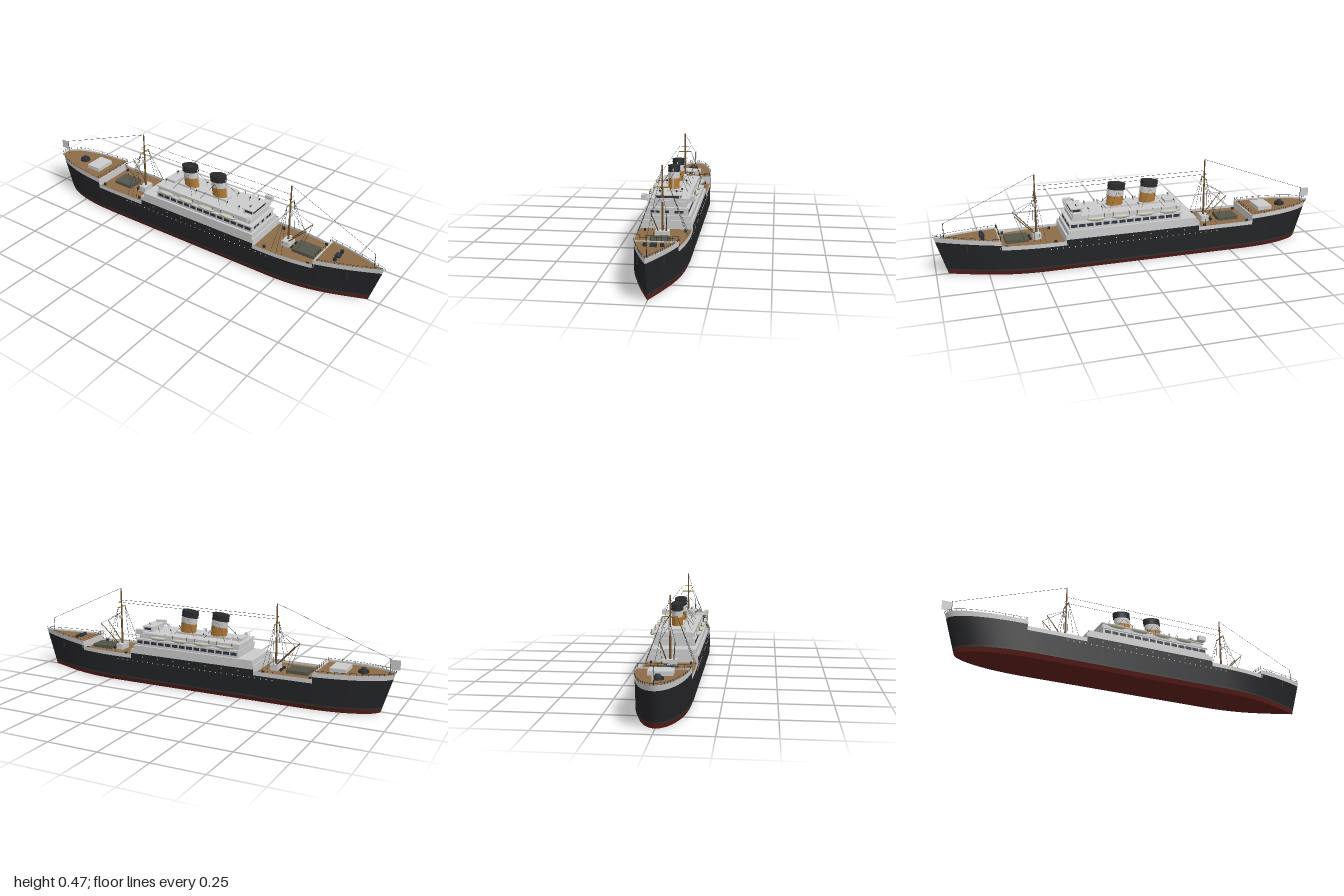
import * as THREE from 'three';

const mat = (color, double) => new THREE.MeshStandardMaterial({ color, side: double ? THREE.DoubleSide : THREE.FrontSide });
const GREY = mat(0xcccccc), GREY2 = mat(0xcccccc, true), HULL = mat(0x232427, true), BOOT = mat(0x2f332f, true);
const RED = mat(0x5e201b, true), WOOD = mat(0x8c6c48, true), SPAR = mat(0x6e5130), BUFF = mat(0xb07a35);
const DARK = mat(0x2a2c2e), GLASS = mat(0x2c3540), HATCH = mat(0x55564a), BOAT = mat(0xc8c8b6, true), BRASS = mat(0x9a7434);

export function createModel() {
  const ship = new THREE.Group();
  ship.name = 'steamship';

  const add = (name, geo, m, x = 0, y = 0, z = 0, parent = ship) => {
    const mesh = new THREE.Mesh(geo, m);
    mesh.name = name;
    mesh.position.set(x, y, z);
    parent.add(mesh);
    return mesh;
  };
  // Box given by half width, y range and z range
  const block = (name, hx, y0, y1, z0, z1, m = GREY, x = 0) =>
    add(name, new THREE.BoxGeometry(2 * hx, y1 - y0, z1 - z0), m, x, (y0 + y1) / 2, (z0 + z1) / 2);
  // Round bar between two points
  const bar = (name, a, b, r, m = DARK, r2 = r, sides = 4) => {
    const A = new THREE.Vector3(...a), B = new THREE.Vector3(...b), d = B.clone().sub(A);
    const mesh = add(name, new THREE.CylinderGeometry(r2, r, d.length(), sides), m);
    mesh.position.copy(A).add(B).multiplyScalar(0.5);
    mesh.quaternion.setFromUnitVectors(new THREE.Vector3(0, 1, 0), d.normalize());
    return mesh;
  };
  const wire = (name, a, b) => bar(name, a, b, 0.0007);

  // Hull form: half breadth, and end rake that grows towards the keel
  const breadth = z => z > 0.45 ? 0.125 * (1 - ((z - 0.45) / 0.55) ** 1.9)
    : z < -0.5 ? 0.125 * Math.sqrt(Math.max(0, 1 - ((-z - 0.5) / 0.48) ** 2.3)) : 0.125;
  const hullPoint = (z, y, side) => {
    const rake = 0.06 * (1 - y / 0.195) * THREE.MathUtils.smoothstep(Math.abs(z), 0.55, 1);
    const bilge = y < 0.022 ? 0.92 + 0.08 * y / 0.022 : 1;
    return [side * breadth(z) * bilge, y, z - Math.sign(z) * rake];
  };
  const zones = [
    { name: 'forecastle', z0: 1, z1: 0.69, dark: t => 0.172 - 0.015 * t, top: t => 0.198 - 0.018 * t, drop: 0.009 },
    { name: 'foreWell', z0: 0.69, z1: 0.37, dark: () => 0.132, top: () => 0.153, drop: 0.013 },
    { name: 'midship', z0: 0.37, z1: -0.32, dark: () => 0.16, top: () => 0.183, drop: 0.011 },
    { name: 'aftWell', z0: -0.32, z1: -0.62, dark: () => 0.132, top: () => 0.153, drop: 0.013 },
    { name: 'poop', z0: -0.62, z1: -0.98, dark: t => 0.163 + 0.006 * t, top: t => 0.185 + 0.01 * t, drop: 0.009 },
  ];
  const stations = zones.flatMap(zone => Array.from({ length: 17 }, (_, i) => {
    const u = i / 16, t = zone.name === 'poop' ? Math.sin(u * Math.PI / 2) : u;
    return { zone, z: THREE.MathUtils.lerp(zone.z0, zone.z1, t), dark: zone.dark(t), top: zone.top(t), deck: zone.top(t) - zone.drop };
  }));
  const around = [...stations.map(s => ({ ...s, side: 1 })), ...stations.slice(0, -1).reverse().map(s => ({ ...s, side: -1 }))];

  // Skin between two lines of points
  const loft = (name, list, lower, upper, m) => {
    const pos = [], index = [];
    list.forEach((s, i) => {
      pos.push(...lower(s), ...upper(s));
      if (i) index.push(2 * i - 2, 2 * i, 2 * i - 1, 2 * i, 2 * i + 1, 2 * i - 1);
    });
    const geo = new THREE.BufferGeometry();
    geo.setAttribute('position', new THREE.Float32BufferAttribute(pos, 3));
    geo.setIndex(index);
    geo.computeVertexNormals();
    return add(name, geo, m);
  };
  const level = f => s => hullPoint(s.z, f(s), s.side);
  loft('redBilge', around, level(() => 0), level(() => 0.022), RED);
  loft('bootStripe', around, level(() => 0.022), level(() => 0.03), BOOT);
  loft('hullSides', around, level(() => 0.03), level(s => s.dark), HULL);
  loft('bulwark', around, level(s => s.dark), level(s => s.top), GREY2);
  loft('hullBottom', stations, s => hullPoint(s.z, 0, -1), s => hullPoint(s.z, 0, 1), RED);
  for (const zone of zones)
    loft(zone.name + 'Deck', stations.filter(s => s.zone === zone), s => hullPoint(s.z, s.deck, -1),
      s => hullPoint(s.z, s.deck, 1), zone.name === 'midship' ? GREY2 : WOOD);

  // Bulkheads at the deck breaks, with a rail across the raised ends
  for (const [z, y] of [[0.69, 0.175], [0.37, 0.18], [-0.32, 0.18], [-0.62, 0.18]])
    block('breakBulkhead', breadth(z) - 0.001, 0.135, y, z - 0.003, z + 0.003);
  for (const z of [0.688, -0.622]) {
    const w = breadth(z) - 0.004;
    for (const y of [0.19, 0.2]) wire('breakRail', [-w, y, z], [w, y, z]);
    for (let i = 0; i <= 8; i++) wire('railPost', [w * (i / 4 - 1), 0.175, z], [w * (i / 4 - 1), 0.2, z]);
  }
  // Rails along the sides of the raised ends
  for (const side of [-1, 1]) for (const name of ['forecastle', 'poop']) {
    const pts = stations.filter(s => s.zone.name === name).map(s => new THREE.Vector3(...hullPoint(s.z, s.top + 0.009, side)));
    add('sideRail', new THREE.TubeGeometry(new THREE.CatmullRomCurve3(pts), 32, 0.0007, 4), DARK);
    pts.forEach(p => wire('railPost', [p.x, p.y - 0.01, p.z], p.toArray()));
  }

  // Superstructure tiers
  block('lowerHouse', 0.113, 0.17, 0.2, -0.31, 0.36);
  block('middleHouse', 0.101, 0.2, 0.234, -0.23, 0.35);
  block('boatDeckLedge', 0.106, 0.233, 0.237, -0.235, 0.355);
  block('upperHouse', 0.09, 0.237, 0.264, -0.23, 0.335);
  block('upperDeck', 0.096, 0.262, 0.267, -0.235, 0.34);
  block('wheelhouse', 0.06, 0.267, 0.292, 0.275, 0.33);
  block('wheelhouseRoof', 0.064, 0.291, 0.295, 0.27, 0.335);
  block('wheelhouseWindows', 0.055, 0.277, 0.289, 0.33, 0.332, GLASS);
  block('bridgeWings', 0.125, 0.267, 0.272, 0.295, 0.335);
  block('bridgeFront', 0.107, 0.27, 0.279, 0.333, 0.337);
  block('deckhouse', 0.028, 0.267, 0.277, -0.15, 0.15);
  block('aftDeckhouse', 0.03, 0.267, 0.28, -0.215, -0.165);
  for (const x of [-0.07, -0.045, 0, 0.045, 0.07]) block('frontWindow', 0.009, 0.211, 0.222, 0.35, 0.352, GLASS, x);

  for (const side of [-1, 1]) {
    block('wingCab', 0.01, 0.266, 0.291, 0.295, 0.337, GREY, side * 0.117);
    for (const x of [0.062]) block('wheelhouseSideWindow', 0.0005, 0.277, 0.288, 0.285, 0.325, GLASS, side * (x - 0.0015));
    // Promenade openings and hull portholes
    for (let i = 0; i < 14; i++) {
      const z = -0.205 + i * 0.041;
      block('promenadeOpening', 0.001, 0.211, 0.226, z - 0.016, z + 0.016, GLASS, side * 0.101);
    }
    for (let i = 0; i < 30; i++) {
      const z = -0.42 + i * 0.03;
      for (const y of i % 3 ? [0.12] : [0.12, 0.145])
        if (y < 0.13 || (z > -0.3 && z < 0.36))
          add('porthole', new THREE.CylinderGeometry(0.003, 0.003, 0.002, 8), GREY, side * 0.125, y, z).rotation.z = Math.PI / 2;
    }
    // Lifeboats under curved davits
    for (const z of [-0.16, -0.035, 0.09, 0.215]) {
      const boat = add('lifeboat', new THREE.SphereGeometry(1, 12, 6, 0, Math.PI * 2, Math.PI / 2, Math.PI / 2), BOAT, side * 0.113, 0.254, z);
      boat.scale.set(0.013, 0.014, 0.05);
      const cover = add('lifeboatCover', new THREE.SphereGeometry(1, 12, 4, 0, Math.PI * 2, 0, Math.PI / 2), BOAT, side * 0.113, 0.254, z);
      cover.scale.set(0.013, 0.004, 0.05);
      for (const dz of [-0.04, 0.04]) {
        const arc = new THREE.CatmullRomCurve3([[0.098, 0.236], [0.098, 0.262], [0.103, 0.274], [0.114, 0.274]]
          .map(([x, y]) => new THREE.Vector3(side * x, y, z + dz)));
        add('davit', new THREE.TubeGeometry(arc, 8, 0.0015, 5), GREY);
        wire('boatFall', [side * 0.113, 0.256, z + dz], [side * 0.113, 0.274, z + dz]);
      }
    }
    // Cowl ventilators
    for (const z of [-0.21, -0.02, 0.17, 0.24, 0.3]) {
      const x = side * (z === 0.3 ? 0.04 : 0.05), h = z === 0.3 ? 0.307 : 0.288;
      bar('ventilatorPipe', [x, 0.265, z], [x, h, z], 0.003, GREY, 0.003, 8);
      add('ventilatorCowl', new THREE.SphereGeometry(0.006, 10, 8), GREY, x, h, z);
      add('ventilatorMouth', new THREE.CylinderGeometry(0.005, 0.005, 0.002, 10), DARK, x, h, z + 0.005).rotation.x = Math.PI / 2;
    }
    // Funnel stays and aerial
    for (const z of [0.085, -0.085]) for (const dz of [-0.06, 0.06])
      wire('funnelStay', [side * 0.026, 0.35, z], [side * 0.075, 0.267, z + dz]);
    wire('aerial', [side * 0.03, 0.4, 0.5], [side * 0.03, 0.4, -0.39]);
    // Forecastle anchors, capstans and bollards
    add('bowCapstan', new THREE.CylinderGeometry(0.008, 0.01, 0.014, 10), DARK, side * 0.037, 0.184, 0.77);
    block('anchor', 0.004, 0.12, 0.155, 0.843, 0.85, DARK, side * 0.055);
    for (const z of [0.42, 0.66, -0.36, -0.6]) block('bollard', 0.004, 0.14, 0.153, z - 0.006, z + 0.006, DARK, side * 0.095);
  }
  block('windlass', 0.014, 0.175, 0.19, 0.757, 0.782, GLASS);

  // Raked oval funnels
  for (const z of [0.098, -0.075]) {
    const funnel = new THREE.Group();
    funnel.name = 'funnel';
    funnel.position.set(0, 0.262, z);
    funnel.rotation.x = -0.12;
    ship.add(funnel);
    const ring = (name, r, y0, y1, m) =>
      add(name, new THREE.CylinderGeometry(r, r, y1 - y0, 28), m, 0, (y0 + y1) / 2, 0, funnel).scale.set(1, 1, 1.5);
    ring('funnelBase', 0.028, 0, 0.063, BUFF);
    ring('funnelBand', 0.028, 0.063, 0.095, GREY);
    ring('funnelTop', 0.0285, 0.095, 0.128, DARK);
    for (const y of [0.096, 0.11, 0.123]) ring('funnelRim', 0.031, y, y + 0.004, DARK);
    bar('steamPipe', [0, 0.265, z + 0.045], [0, 0.38, z + 0.03], 0.003, GREY, 0.003, 6);
  }

  // Masts with cargo gear; dir points away from midship
  for (const [z, dir] of [[0.5, 1], [-0.39, -1]]) {
    bar('mast', [0, 0.138, z], [0, 0.47, z], 0.006, SPAR, 0.003, 10);
    bar('yard', [-0.035, 0.37, z], [0.035, 0.37, z], 0.003, BRASS, 0.003, 6);
    bar('lowerYard', [-0.02, 0.4, z], [0.02, 0.4, z], 0.0015, SPAR);
    add('crowsNest', new THREE.CylinderGeometry(0.01, 0.008, 0.016, 10), GREY, 0, 0.313, z + dir * 0.006);
    block('mastHouse', 0.032, 0.139, 0.17, z - 0.02, z + 0.02);
    const near = z + dir * (dir > 0 ? 0.045 : 0.07), far = z + dir * (dir > 0 ? 0.16 : 0.18);
    block('cargoHatch', 0.045, 0.139, 0.157, Math.min(near, far), Math.max(near, far), HATCH);
    for (const s of [-1, 1]) {
      bar('derrickBoom', [s * 0.018, 0.168, z + dir * 0.01], [s * 0.035, 0.275, z + dir * 0.11], 0.003, SPAR, 0.002, 6);
      wire('boomStay', [s * 0.035, 0.275, z + dir * 0.11], [0, 0.34, z]);
      wire('boomFall', [s * 0.035, 0.275, z + dir * 0.11], [s * 0.03, 0.158, z + dir * 0.07]);
      for (const dz of [-0.03, 0, 0.03]) wire('shroud', [s * 0.033, 0.37, z], [s * 0.117, 0.15, z + dz]);
      bar('winch', [s * 0.012, 0.146, z + dir * 0.035], [s * 0.028, 0.146, z + dir * 0.035], 0.007, DARK, 0.007, 8);
    }
  }
  wire('foreStay', [0, 0.47, 0.5], [0, 0.262, 0.95]);
  wire('aftStay', [0, 0.47, -0.39], [0, 0.262, -0.955]);
  bar('jackStaff', [0, 0.18, 0.95], [0, 0.265, 0.95], 0.0015);

  // Poop fittings and flag
  block('poopHouse', 0.055, 0.175, 0.199, -0.76, -0.68);
  add('gunPlatform', new THREE.CylinderGeometry(0.025, 0.027, 0.012, 16), DARK, 0, 0.187, -0.83);
  add('sternCapstan', new THREE.CylinderGeometry(0.011, 0.014, 0.014, 12), GLASS, 0, 0.198, -0.83);
  bar('flagStaff', [0, 0.18, -0.953], [0, 0.265, -0.953], 0.0015);
  block('flag', 0.0008, 0.213, 0.26, -1, -0.954);
  return ship;
}
